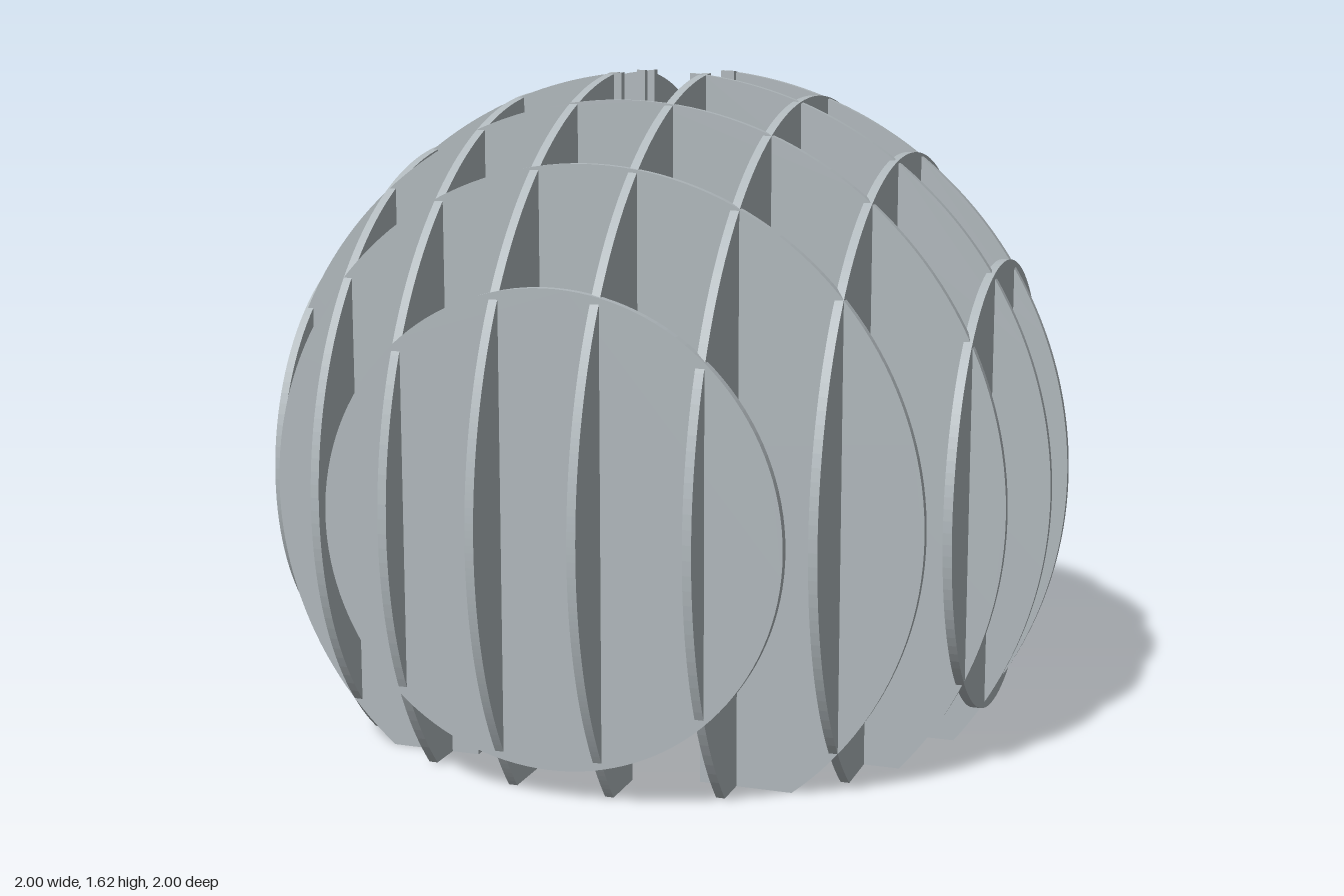
import * as THREE from 'three';

const R = 1.007;           // sphere radius
const CY = 0.627;          // sphere centre height
const T = 0.021;           // sheet thickness
const CAVITY_R = 0.667, CAVITY_TOP = 0.8;   // round hollow in the base
const WELL_R = 0.15, WELL_FLOOR = 1.3;      // round well in the top
const OFFSETS = [0.12, 0.362, 0.604, 0.843];

// Outline of the sphere slice at distance d from the centre
function sliceShape(d, cordHole) {
  const r = Math.sqrt(R * R - d * d);
  const shape = new THREE.Shape();
  if (r < CY) {
    shape.absarc(0, CY, r, 0, Math.PI * 2, false);
    if (cordHole) {
      const hole = new THREE.Path();
      hole.absarc(0, CY, 0.042, 0, Math.PI * 2, true);
      shape.holes.push(hole);
    }
    return shape;
  }
  const foot = Math.sqrt(r * r - CY * CY);
  const a0 = -Math.acos(foot / r);
  const cavity = Math.sqrt(CAVITY_R ** 2 - d * d);
  shape.moveTo(cavity, 0);
  shape.lineTo(foot, 0);
  if (d < WELL_R) {
    // notch where the top well passes through
    const w = Math.sqrt(WELL_R ** 2 - d * d);
    const a1 = Math.acos(w / r);
    shape.absarc(0, CY, r, a0, a1, false);
    shape.lineTo(w, WELL_FLOOR);
    shape.lineTo(-w, WELL_FLOOR);
    shape.absarc(0, CY, r, Math.PI - a1, Math.PI - a0, false);
  } else {
    shape.absarc(0, CY, r, a0, Math.PI - a0, false);
  }
  shape.lineTo(-cavity, 0);
  shape.lineTo(-cavity, CAVITY_TOP);
  shape.lineTo(cavity, CAVITY_TOP);
  shape.closePath();
  return shape;
}

function sliceGeometry(d, cordHole) {
  const geo = new THREE.ExtrudeGeometry(sliceShape(d, cordHole), {
    depth: T, bevelEnabled: false, curveSegments: 64,
  });
  return geo.translate(0, 0, -T / 2);
}

export function createModel() {
  const model = new THREE.Group();
  model.name = 'slicedSphere';
  const grey = new THREE.MeshStandardMaterial({ color: 0xb0b8bc });
  grey.name = 'grey sheet';

  const crossSlices = new THREE.Group();
  crossSlices.name = 'crossSlices';
  const lengthSlices = new THREE.Group();
  lengthSlices.name = 'lengthSlices';
  model.add(crossSlices, lengthSlices);

  OFFSETS.forEach((d, i) => {
    const crossGeo = sliceGeometry(d, false);
    const lengthGeo = sliceGeometry(d, true).rotateY(Math.PI / 2);
    for (const side of [-1, 1]) {
      // slices facing front and back
      const cross = new THREE.Mesh(crossGeo, grey);
      cross.name = (side > 0 ? 'frontSlice' : 'backSlice') + (i + 1);
      cross.position.z = side * d;
      crossSlices.add(cross);
      // slices facing the sides, the outermost with a cord hole
      const length = new THREE.Mesh(lengthGeo, grey);
      length.name = (side > 0 ? 'leftSlice' : 'rightSlice') + (i + 1);
      length.position.x = side * d;
      lengthSlices.add(length);
    }
  });
  return model;
}
